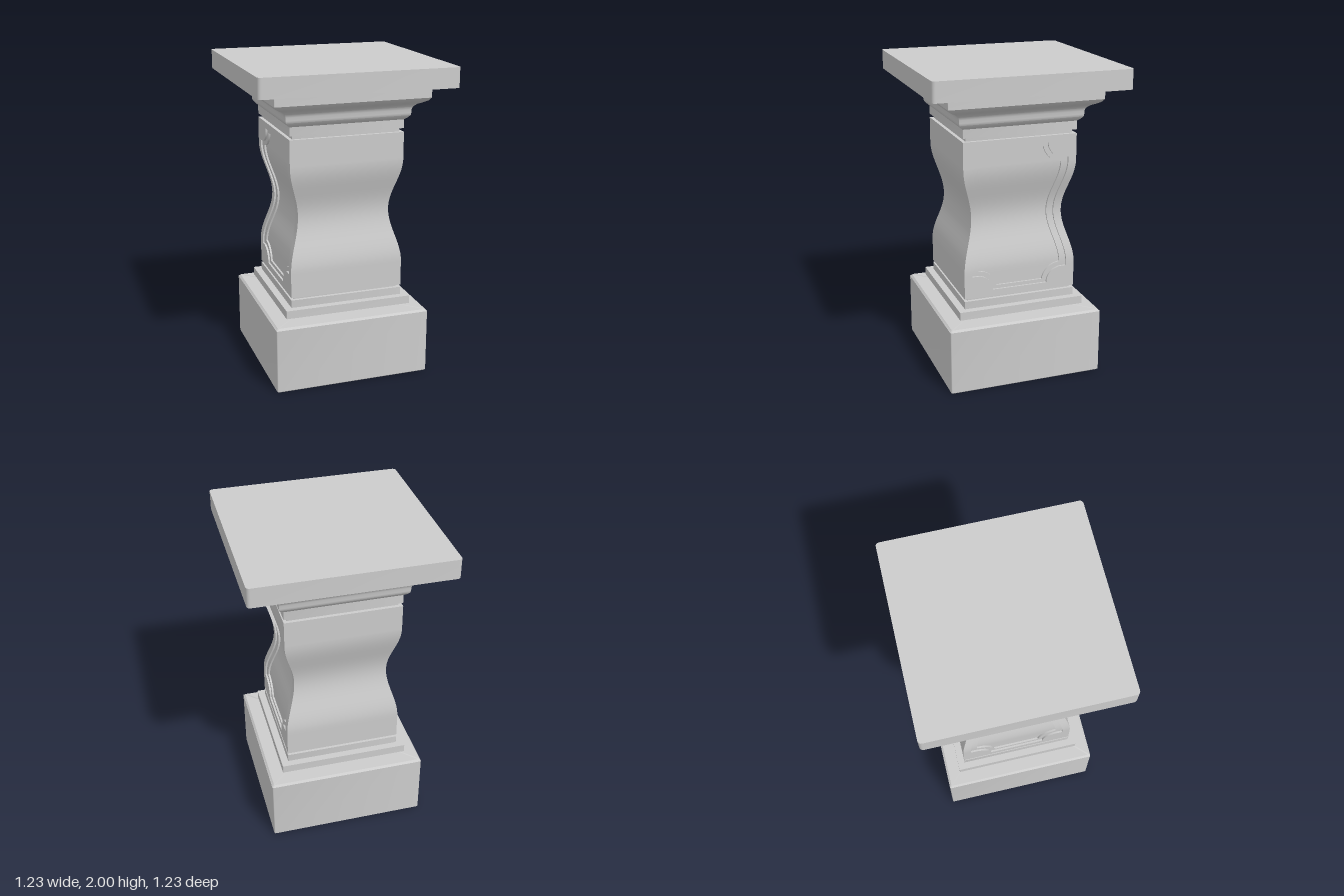
import * as THREE from 'three';
import { toCreasedNormals } from 'three/addons/utils/BufferGeometryUtils.js';

const material = new THREE.MeshStandardMaterial({ color: 0xcccccc });

// Skins a stack of closed rings (bottom to top, counter-clockwise from above) and caps both ends.
function loft(name, rings) {
  const pos = [];
  const [a, b, c] = [new THREE.Vector3(), new THREE.Vector3(), new THREE.Vector3()];
  const tri = (p, q, r) => {
    a.set(...p); b.set(...q); c.set(...r);
    if (b.sub(a).cross(c.sub(a)).length() > 1e-9) pos.push(...p, ...q, ...r);
  };
  const n = rings[0].length;
  const last = rings.length - 1;
  for (let j = 0; j < n; j++) {
    const k = (j + 1) % n;
    for (let i = 0; i < last; i++) {
      tri(rings[i][j], rings[i][k], rings[i + 1][k]);
      tri(rings[i][j], rings[i + 1][k], rings[i + 1][j]);
    }
    tri([0, rings[0][0][1], 0], rings[0][k], rings[0][j]);
    tri([0, rings[last][0][1], 0], rings[last][j], rings[last][k]);
  }
  const geometry = new THREE.BufferGeometry();
  geometry.setAttribute('position', new THREE.Float32BufferAttribute(pos, 3));
  const mesh = new THREE.Mesh(toCreasedNormals(geometry, 0.6), material);
  mesh.name = name;
  return mesh;
}

// Square ring of half-width h at height y, with corners rounded by r.
function squareRing(h, y, r) {
  const ring = [];
  for (let corner = 0; corner < 4; corner++) {
    const mid = Math.PI / 4 + corner * Math.PI / 2;
    const cx = (h - r) * Math.SQRT2 * Math.cos(mid);
    const cz = -(h - r) * Math.SQRT2 * Math.sin(mid);
    for (let s = 0; s <= 4; s++) {
      const t = corner * Math.PI / 2 + s * Math.PI / 8;
      ring.push([cx + r * Math.cos(t), y, cz - r * Math.sin(t)]);
    }
  }
  return ring;
}

const squareLoft = (name, profile, r = 0.003) =>
  loft(name, profile.map(([h, y]) => squareRing(h, y, r)));

// Waisted shaft with a two-step sunk panel on its left and right faces.
function createShaft() {
  const mid = 1.072, half = 0.504, step = 0.012;
  const width = y => {
    const t = Math.min(1, Math.abs(y - mid) / 0.34);
    return 0.367 - 0.034 * (1 + Math.cos(Math.PI * t));
  };
  // Panel outlines: concave quarter-round corners, sides following the waist
  const outer = { top: 0.461, radius: 0.1, inset: 0.052 };
  const inner = { top: 0.438, radius: 0.13, inset: 0.095 };
  const cornerZ = 0.28, cornerY = 0.461;
  const panelWidth = (y, { top, radius, inset }) => {
    const dy = Math.abs(y - mid);
    if (dy > top) return 0;
    const side = width(y) - inset;
    const rise = cornerY - dy;
    if (rise > radius) return side;
    return Math.min(side, cornerZ - Math.sqrt(radius ** 2 - rise ** 2));
  };

  // Row heights, doubled where an outline jumps sideways
  const heights = new Set([0]);
  for (let i = 0; i <= 16; i++) heights.add(i * 0.0205);
  for (let i = 0; i <= 12; i++) heights.add(0.331 + i * 0.0105);
  for (const p of [outer, inner])
    for (const jump of [p.top, cornerY - p.radius]) {
      heights.add(jump - 5e-5);
      heights.add(jump + 5e-5);
    }
  heights.add(half);
  const up = [...heights].sort((p, q) => p - q);
  const rows = [...up.slice(1).reverse().map(d => mid - d), ...up.map(d => mid + d)];

  return loft('shaft', rows.map(y => {
    const h = width(y);
    const w1 = panelWidth(y, outer), w2 = panelWidth(y, inner);
    const front = [[h, h], [h, w1], [h - step, w1], [h - step, w2], [h - 2 * step, w2]];
    const face = [...front, ...front.slice().reverse().map(([x, z]) => [x, -z])];
    return [
      ...face.map(([x, z]) => [x, y, z]),
      ...face.map(([x, z]) => [-x, y, -z]),
    ];
  }));
}

export function createModel() {
  const group = new THREE.Group();
  group.name = 'pedestal';
  group.add(
    squareLoft('plinth', [[0.497, 0], [0.503, 0.006], [0.503, 0.418], [0.49, 0.43]], 0.01),
    // Stepped base moulding
    squareLoft('baseMoulding', [
      [0.367, 0.43], [0.367, 0.451], [0.412, 0.451], [0.412, 0.503],
      [0.367, 0.503], [0.367, 0.552],
    ]),
    squareLoft('lowerNeck', [[0.345, 0.552], [0.345, 0.568]]),
    createShaft(),
    squareLoft('upperNeck', [[0.345, 1.576], [0.345, 1.6]]),
    // Flared capital under the slab
    squareLoft('capital', [
      [0.367, 1.6], [0.367, 1.655], [0.383, 1.668], [0.397, 1.685], [0.4, 1.7],
      [0.4, 1.72], [0.406, 1.738], [0.425, 1.757], [0.455, 1.772], [0.478, 1.786],
      [0.492, 1.804], [0.492, 1.876],
    ]),
    squareLoft('topSlab', [[0.617, 1.876], [0.617, 2]], 0.022),
  );
  return group;
}
